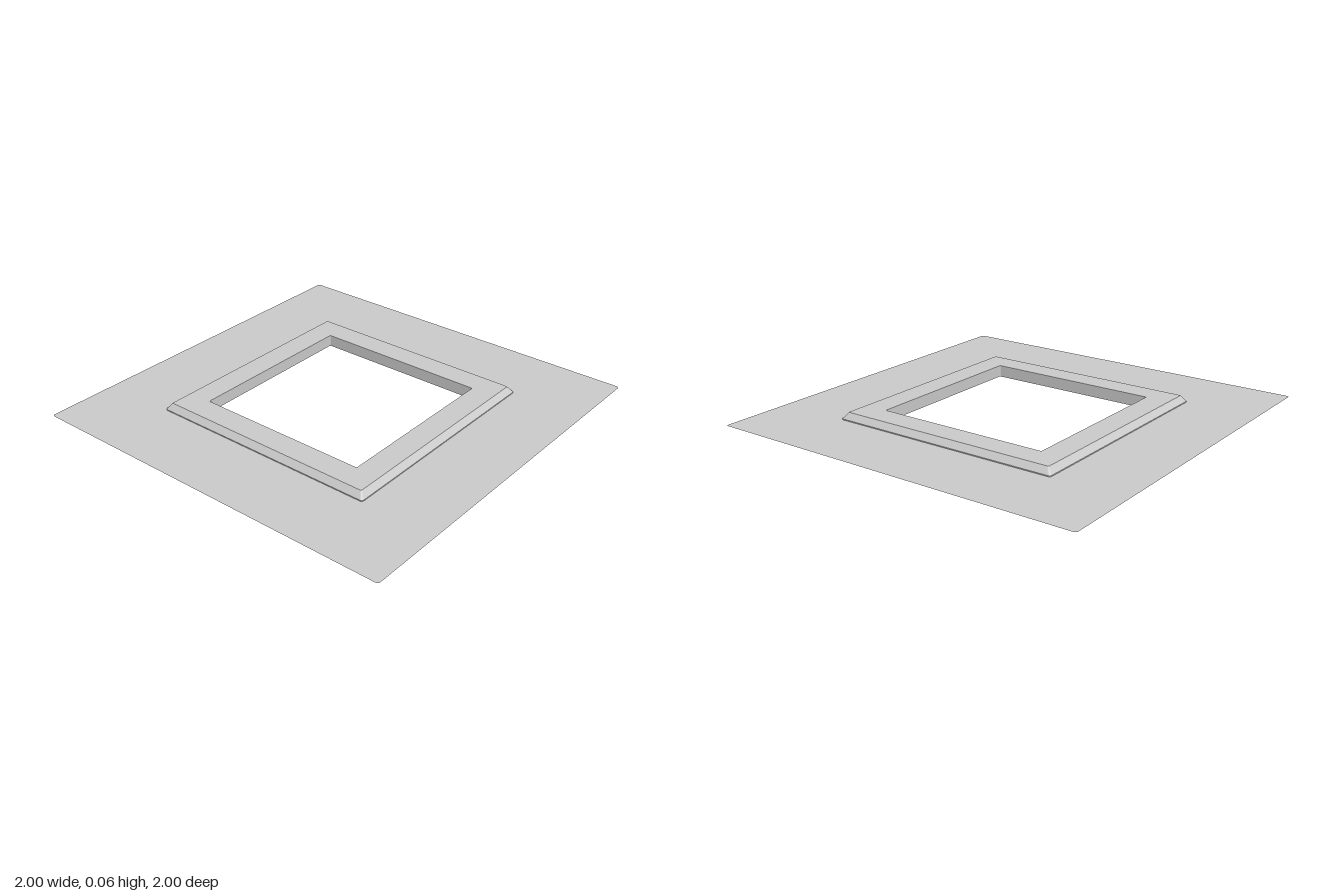
import * as THREE from 'three';

// Rounded square outline: half size h, height y, corner radius r
function ring(h, y, r, steps = 3) {
  const points = [];
  for (let c = 0; c < 4; c++) {
    const mid = Math.PI / 4 + c * Math.PI / 2;
    const cx = Math.sign(Math.cos(mid)) * (h - r);
    const cz = Math.sign(Math.sin(mid)) * (h - r);
    for (let s = 0; s <= steps; s++) {
      const a = (c + s / steps) * Math.PI / 2;
      points.push(new THREE.Vector3(cx + r * Math.cos(a), y, cz + r * Math.sin(a)));
    }
  }
  return points;
}

// Flat-faced skin between successive outlines, running from outside to inside
function skin(rings) {
  const corners = [];
  for (let i = 0; i < rings.length - 1; i++) {
    const outer = rings[i], inner = rings[i + 1], n = outer.length;
    for (let j = 0; j < n; j++) {
      const k = (j + 1) % n;
      corners.push(outer[j], inner[j], outer[k], outer[k], inner[j], inner[k]);
    }
  }
  const geometry = new THREE.BufferGeometry().setFromPoints(corners);
  geometry.computeVertexNormals();
  return geometry;
}

export function createModel() {
  const group = new THREE.Group();
  group.name = 'flashingFrame';
  const metal = new THREE.MeshStandardMaterial({ color: 0xcccccc, side: THREE.DoubleSide });
  metal.name = 'light grey';

  const add = (name, rings) => {
    const mesh = new THREE.Mesh(skin(rings), metal);
    mesh.name = name;
    group.add(mesh);
  };

  const sheetHole = ring(0.614, 0.026, 0.012);
  const topOuter = ring(0.589, 0.062, 0.006);
  const topInner = ring(0.462, 0.062, 0.006);

  // Thin flat sheet around the frame
  add('baseSheet', [ring(1, 0.026, 0.015), sheetHole]);
  // Small upright lip and sloping side, hollow underneath
  add('bevelledRim', [sheetHole, ring(0.614, 0.031, 0.012), topOuter]);
  // Raised flat border
  add('topBorder', [topOuter, topInner]);
  // Thin wall lining the opening, reaching below the sheet
  add('openingWall', [topInner, ring(0.462, 0, 0.006)]);

  return group;
}
